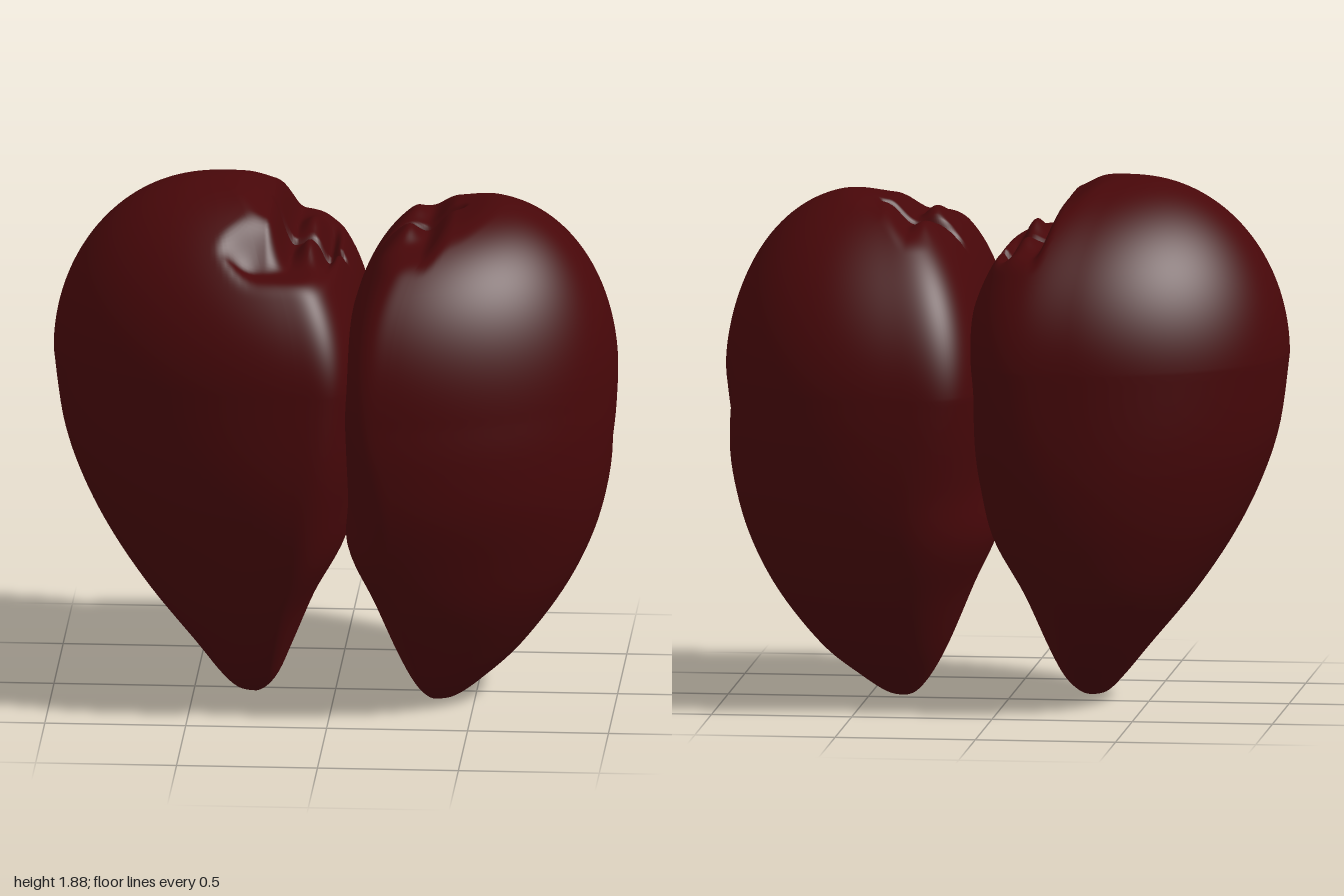
import * as THREE from 'three';

const { lerp, smoothstep } = THREE.MathUtils;
const SEG = 200, SIDE = 50, CAP = 80;
const bell = (x, z, cx, cz, rx, rz) => Math.exp(-(((x - cx) / rx) ** 2) - ((z - cz) / rz) ** 2);
const softMin = (a, b, k) => {
  const h = Math.max(k - Math.abs(a - b), 0) / k;
  return Math.min(a, b) - h * h * k * 0.25;
};
const band = (v, lo, hi, soft) => smoothstep(v, lo - soft, lo + soft) * (1 - smoothstep(v, hi - soft, hi + soft));

// Cross-groove running over both inner ledges
const crossGroove = (x, z) => 0.08 * band(x, -0.2, 0.44, 0.03) * Math.exp(-(((z + 0.02) / 0.022) ** 2));

// Carved ceiling of the right lobe: ledge wrapping the dome's inner and front side, two knobs, a trough
function rightTop(x, z) {
  const front = smoothstep(z, 0.24, 0.42) * smoothstep(x, -0.6, -0.25);
  const dome = 0.17 * smoothstep(-x, 0.14, 0.23) + 0.14 * smoothstep(-x, 0.2, 0.42);
  return 1.64 + dome * (1 - front)
    + 0.06 * bell(x, z, -0.08, 0.16, 0.04, 0.12) + 0.04 * bell(x, z, -0.09, -0.18, 0.04, 0.12)
    - 0.07 * bell(x, z, -0.02, -0.05, 0.03, 0.3) - crossGroove(x, z);
}

// Carved ceiling of the left lobe: ledge, gentle step to the dome, two knobs
const leftTop = (x, z) =>
  1.7 + 0.08 * smoothstep(x, 0.32, 0.43) + 0.08 * smoothstep(x, 0.4, 0.65)
  + 0.08 * bell(x, z, 0.24, -0.2, 0.06, 0.1) + 0.09 * bell(x, z, 0.24, 0.1, 0.055, 0.09)
  - crossGroove(x, z);

// Rows: y, x at the -x side, x at the +x side, z front, z back, inner squareness.
// The lists in widest, outer and power hold the values for the front and the back half.
const LOBES = [
  {
    name: 'rightLobe', inner: 1, capX: -0.45, height: 0.63, top: rightTop,
    widest: [0.8, 0.63], outer: [2, 2], power: [2, 2],
    rows: [
      [0.015, -0.3, -0.3, 0.06, 0.06, 2], [0.03, -0.35, -0.25, 0.14, -0.02, 2],
      [0.09, -0.41, -0.195, 0.24, -0.13, 2], [0.2, -0.5, -0.145, 0.335, -0.28, 2],
      [0.4, -0.665, -0.06, 0.465, -0.455, 2], [0.6, -0.8, 0.045, 0.555, -0.555, 2.2],
      [0.8, -0.9, 0.085, 0.615, -0.61, 2.7], [1.0, -0.965, 0.11, 0.64, -0.635, 3.4],
      [1.25, -1, 0.12, 0.64, -0.645, 4],
    ],
  },
  {
    name: 'leftLobe', inner: -1, capX: 0.5, height: 0.67, top: leftTop,
    widest: [0.2, 0.33], outer: [2, 2.5], power: [2.3, 1.95],
    rows: [
      [0, 0.38, 0.38, 0.07, 0.07, 2], [0.015, 0.335, 0.44, 0.15, -0.01, 2],
      [0.08, 0.28, 0.53, 0.245, -0.13, 2], [0.2, 0.215, 0.665, 0.335, -0.29, 2],
      [0.4, 0.13, 0.815, 0.465, -0.46, 2], [0.6, 0.045, 0.915, 0.555, -0.56, 2.2],
      [0.8, 0.05, 0.97, 0.615, -0.61, 2.7], [1.0, 0.037, 0.995, 0.64, -0.635, 3.4],
      [1.15, 0.03, 1, 0.64, -0.64, 4],
    ],
  },
];

// Smooth interpolation of the profile rows
function sampleRow(rows, t) {
  const f = t * (rows.length - 1), i = Math.min(Math.floor(f), rows.length - 2), u = f - i;
  const at = (k) => rows[Math.max(0, Math.min(rows.length - 1, k))];
  return rows[0].map((_, c) => {
    const [a, b, d, e] = [at(i - 1)[c], at(i)[c], at(i + 1)[c], at(i + 2)[c]];
    return b + 0.5 * u * (d - a + u * (2 * a - 5 * b + 4 * d - e + u * (3 * (b - d) + e - a)));
  });
}

// Point on a section: boxy towards the other lobe, elliptic on the outside
function sectionPoint([, xMin, xMax, zFront, zBack, square], { inner, widest, outer }, angle) {
  const c = Math.cos(angle), s = Math.sin(angle), half = s > 0 ? 0 : 1;
  const cx = lerp(xMin, xMax, widest[half]);
  const n = c * inner > 0 ? square : outer[half];
  const r = (Math.abs(c) ** n + Math.abs(s) ** n) ** (-1 / n);
  return [
    cx + r * c * (c > 0 ? xMax - cx : cx - xMin),
    (zFront + zBack) / 2 + (r * s * (zFront - zBack)) / 2,
  ];
}

function lobeGeometry(lobe) {
  const { inner, capX, height, power, top, rows } = lobe;
  const pos = [], index = [];
  const rim = rows[rows.length - 1];
  const angleOf = (i) => (i / SEG) * Math.PI * 2;

  // Tapering side wall
  for (let r = 0; r < SIDE; r++) {
    const row = sampleRow(rows, (r / SIDE) ** 1.2);
    for (let i = 0; i < SEG; i++) {
      const [x, z] = sectionPoint(row, lobe, angleOf(i));
      pos.push(x, row[0], z);
    }
  }
  // Domed top, cut down to the carved ceiling
  for (let r = 0; r <= CAP; r++) {
    const s = Math.cos((r / CAP) * Math.PI / 2);
    for (let i = 0; i < SEG; i++) {
      const [ex, ez] = sectionPoint(rim, lobe, angleOf(i));
      const x = lerp(capX, ex, s), z = ez * s;
      const p = lerp(power[1], power[0], smoothstep(Math.sin(angleOf(i)), -1, 1));
      const y = rim[0] + height * Math.max(0, 1 - s ** p) ** (1 / p);
      pos.push(x, softMin(y, top(x, z), 0.05), z);
    }
  }
  // Shallow slanting dent on the outer left flank
  if (inner < 0) {
    for (let k = 0; k < pos.length; k += 3) {
      if (pos[k] < 0.6) continue;
      const u = pos[k + 2] + 0.14, v = pos[k + 1] - 1.04;
      pos[k] -= 0.03 * bell((v - u) * 0.7, (u + v) * 0.7, 0, 0, 0.17, 0.08);
    }
  }
  // Skin between neighbouring rings
  for (let r = 0; r < SIDE + CAP; r++) {
    for (let i = 0; i < SEG; i++) {
      const a = r * SEG + i, b = r * SEG + ((i + 1) % SEG);
      index.push(a, a + SEG, b, b, a + SEG, b + SEG);
    }
  }
  const geo = new THREE.BufferGeometry();
  geo.setAttribute('position', new THREE.Float32BufferAttribute(pos, 3));
  geo.setIndex(index);
  geo.computeVertexNormals();
  return geo;
}

export function createModel() {
  const group = new THREE.Group();
  group.name = 'twinLobes';
  const material = new THREE.MeshStandardMaterial({ color: 0x470709 });
  for (const lobe of LOBES) {
    const mesh = new THREE.Mesh(lobeGeometry(lobe), material);
    mesh.name = lobe.name;
    group.add(mesh);
  }
  return group;
}
